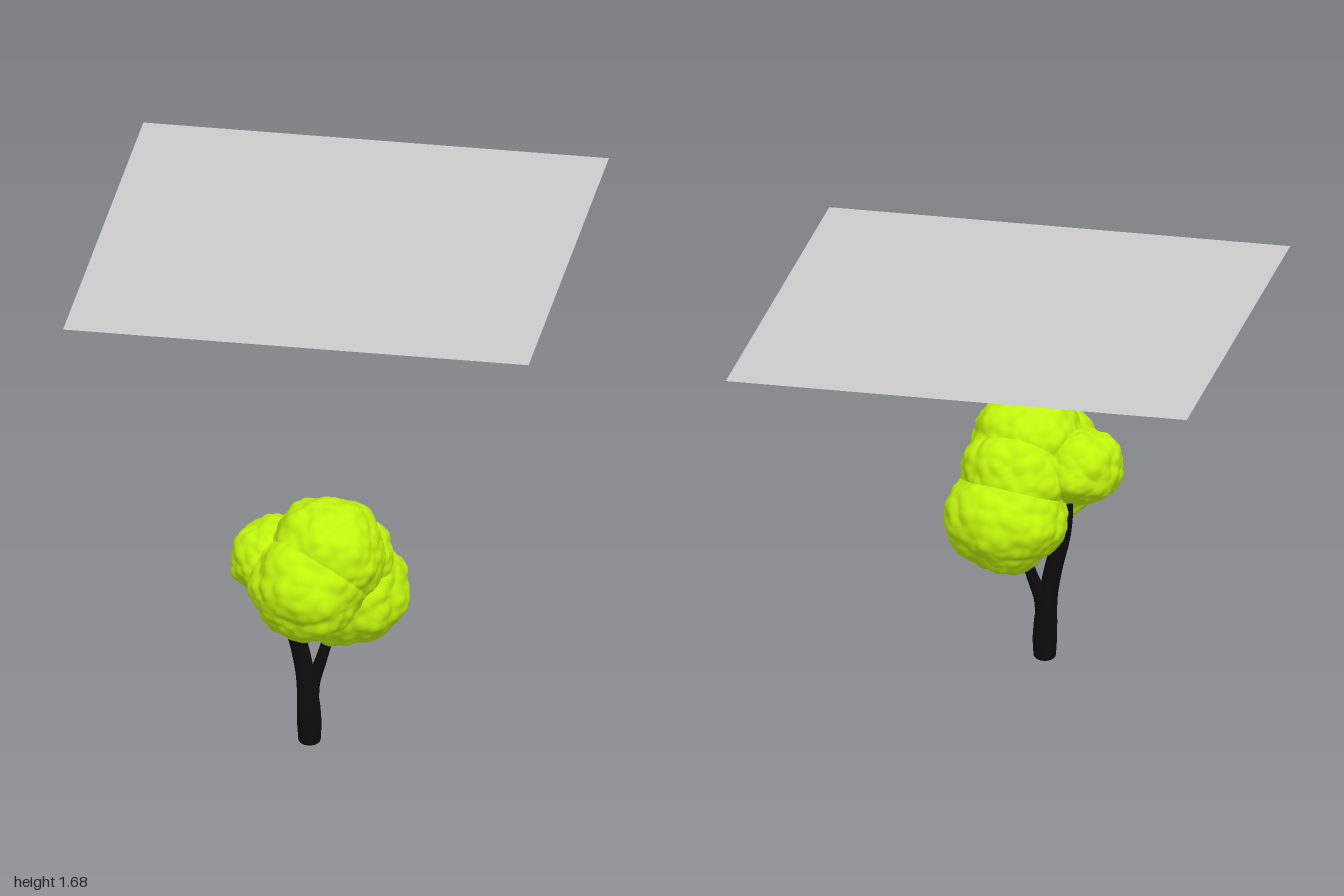
import * as THREE from 'three';
import { mergeVertices } from 'three/addons/utils/BufferGeometryUtils.js';

const V = (x, y, z) => new THREE.Vector3(x, y, z);

// Repeatable pseudo-random value for a lattice cell
function hash(x, y, z, k) {
  const s = Math.sin(x * 127.1 + y * 311.7 + z * 74.7 + k * 53.3) * 43758.5453;
  return s - Math.floor(s);
}

// Distance to the nearest scattered point: gives rounded leafy clumps
function cellNoise(p, size) {
  const x = p.x / size, y = p.y / size, z = p.z / size;
  const cx = Math.floor(x), cy = Math.floor(y), cz = Math.floor(z);
  let best = 9;
  for (let i = cx - 1; i <= cx + 1; i++)
    for (let j = cy - 1; j <= cy + 1; j++)
      for (let k = cz - 1; k <= cz + 1; k++) {
        const d = Math.hypot(i + hash(i, j, k, 1) - x, j + hash(i, j, k, 2) - y, k + hash(i, j, k, 3) - z);
        best = Math.min(best, d);
      }
  return best;
}

// Lumpy ellipsoid of leaves
function leafClump(center, radii) {
  let geo = new THREE.IcosahedronGeometry(1, 22);
  geo.deleteAttribute('normal');
  geo.deleteAttribute('uv');
  geo = mergeVertices(geo, 1e-4);
  const pos = geo.attributes.position, n = V(0, 0, 0), p = V(0, 0, 0);
  for (let i = 0; i < pos.count; i++) {
    n.fromBufferAttribute(pos, i);
    p.copy(n).multiply(radii).add(center);
    const bump = 0.03 * (0.5 - cellNoise(p, 0.13)) + 0.014 * (0.5 - cellNoise(p, 0.05));
    p.addScaledVector(n, bump);
    pos.setXYZ(i, p.x, p.y, p.z);
  }
  geo.computeVertexNormals();
  return geo;
}

// Tube along a curve with a radius given at even steps
function limb(points, radii) {
  const curve = new THREE.CatmullRomCurve3(points);
  const steps = 40, sides = 16;
  const geo = new THREE.TubeGeometry(curve, steps, 1, sides);
  const pos = geo.attributes.position, p = V(0, 0, 0);
  for (let i = 0; i <= steps; i++) {
    const c = curve.getPointAt(i / steps);
    const f = (i / steps) * (radii.length - 1), k = Math.min(Math.floor(f), radii.length - 2);
    const r = THREE.MathUtils.lerp(radii[k], radii[k + 1], f - k);
    for (let j = 0; j <= sides; j++) {
      const v = i * (sides + 1) + j;
      p.fromBufferAttribute(pos, v).sub(c).multiplyScalar(r).add(c);
      pos.setXYZ(v, p.x, p.y, p.z);
    }
  }
  geo.computeVertexNormals();
  return geo;
}

export function createModel() {
  const model = new THREE.Group();
  const bark = new THREE.MeshStandardMaterial({ color: 0x0b0b0b });
  const leaf = new THREE.MeshStandardMaterial({ color: 0xc0f20c });
  const grey = new THREE.MeshStandardMaterial({ color: 0xcccccc, side: THREE.DoubleSide });
  const add = (parent, name, geo, mat) => {
    const mesh = new THREE.Mesh(geo, mat);
    mesh.name = name;
    parent.add(mesh);
    return mesh;
  };

  const tree = new THREE.Group();
  tree.name = 'tree';
  model.add(tree);

  // Trunk swells at the foot, then leans left into the crown
  add(tree, 'trunk', limb(
    [V(0.032, 0.02, 0.63), V(0.03, 0.12, 0.628), V(0.018, 0.25, 0.62), V(-0.006, 0.38, 0.615), V(-0.04, 0.52, 0.63), V(-0.05, 0.66, 0.65)],
    [0.042, 0.046, 0.044, 0.039, 0.035, 0.034, 0.033, 0.031, 0.028, 0.026, 0.022]), bark);
  const foot = add(tree, 'trunkFoot', new THREE.SphereGeometry(0.042, 16, 10), bark);
  foot.position.set(0.032, 0.021, 0.63);
  foot.scale.y = 0.5;
  add(tree, 'branch', limb(
    [V(0.032, 0.14, 0.627), V(0.042, 0.24, 0.617), V(0.075, 0.35, 0.598), V(0.105, 0.46, 0.575), V(0.13, 0.56, 0.55)],
    [0.036, 0.026, 0.021, 0.019, 0.018]), bark);

  // Crown: overlapping clumps, each as centre and radii
  const crown = new THREE.Group();
  crown.name = 'crown';
  tree.add(crown);
  const clumps = {
    topClump: [V(0.11, 0.83, 0.70), V(0.215, 0.205, 0.215)],
    frontClump: [V(0.05, 0.73, 0.78), V(0.215, 0.21, 0.21)],
    sideClump: [V(-0.09, 0.77, 0.66), V(0.16, 0.145, 0.17)],
    backClump: [V(0.13, 0.74, 0.57), V(0.2, 0.19, 0.18)],
    lowClump: [V(0.155, 0.6, 0.53), V(0.225, 0.205, 0.225)],
  };
  for (const [name, [center, radii]] of Object.entries(clumps))
    add(crown, name, leafClump(center, radii), leaf);

  // Flat square panel overhead
  const panel = add(model, 'overheadPanel', new THREE.PlaneGeometry(1.74, 1.74), grey);
  panel.rotation.x = -Math.PI / 2;
  panel.position.set(0, 1.68, -0.13);

  return model;
}
